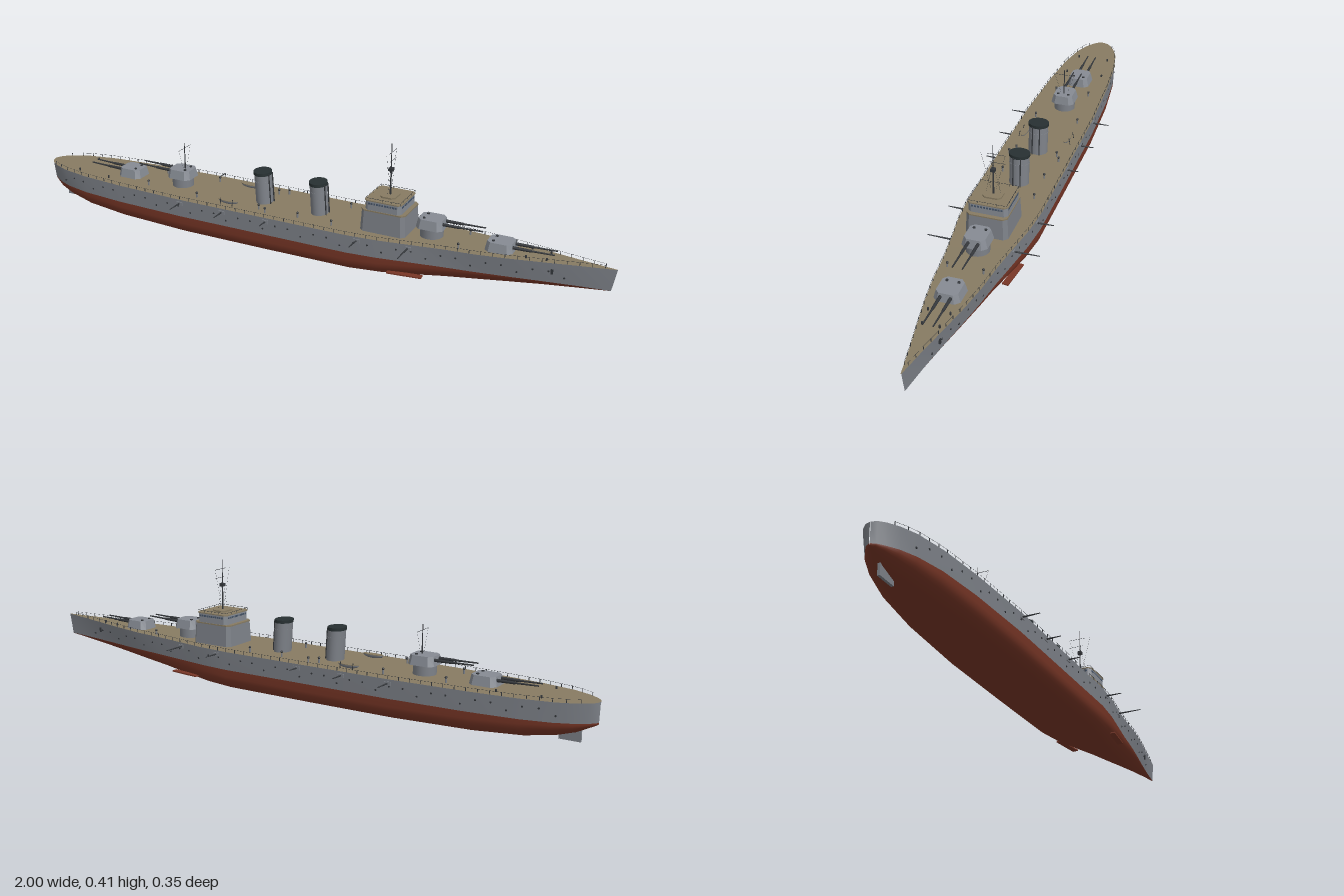
import * as THREE from 'three';
import { mergeGeometries } from 'three/addons/utils/BufferGeometryUtils.js';

const mat = (name, color) => Object.assign(new THREE.MeshStandardMaterial({ color }), { name });

// hull stations: deck x, waterline x, deck half-width, deck y, waterline half-width, keel y, section fullness
const STATIONS = [
  [-1, -0.998, 0.001, 0.135, 0.001, 0.070, 2], [-0.995, -0.99, 0.018, 0.135, 0.015, 0.065, 2],
  [-0.98, -0.97, 0.034, 0.135, 0.031, 0.055, 2], [-0.95, -0.94, 0.054, 0.135, 0.051, 0.04, 2],
  [-0.9, -0.89, 0.075, 0.135, 0.072, 0.025, 2.1], [-0.8, -0.8, 0.095, 0.135, 0.093, 0.01, 2.4],
  [-0.65, -0.65, 0.109, 0.135, 0.108, 0.003, 2.9], [-0.4, -0.4, 0.12, 0.135, 0.118, 0, 3.3],
  [-0.1, -0.1, 0.12, 0.135, 0.118, 0, 3.4], [0.2, 0.2, 0.12, 0.135, 0.118, 0, 3.2],
  [0.3, 0.3, 0.112, 0.135, 0.109, 0.002, 2.8], [0.4, 0.4, 0.096, 0.135, 0.093, 0.01, 2.4],
  [0.5, 0.5, 0.082, 0.136, 0.077, 0.02, 2], [0.6, 0.598, 0.073, 0.137, 0.064, 0.029, 1.7],
  [0.7, 0.695, 0.058, 0.139, 0.048, 0.04, 1.5], [0.8, 0.79, 0.039, 0.141, 0.031, 0.051, 1.3],
  [0.9, 0.89, 0.019, 0.143, 0.014, 0.063, 1.2], [1, 0.987, 0.001, 0.145, 0.001, 0.0745, 1],
];
const WL = 0.075;

// interpolate a station column at x
function at(x, col) {
  let i = 0;
  while (i < STATIONS.length - 2 && STATIONS[i + 1][0] < x) i++;
  const a = STATIONS[i], b = STATIONS[i + 1];
  return THREE.MathUtils.lerp(a[col], b[col], (x - a[0]) / (b[0] - a[0]));
}
// half-width of the topsides at x and height y
const sideZ = (x, y) => THREE.MathUtils.lerp(at(x, 4), at(x, 2), (y - WL) / (at(x, 3) - WL));

// skin over rows of points
function loft(rows) {
  const n = rows[0].length, index = [];
  for (let i = 0; i < rows.length - 1; i++) for (let j = 0; j < n - 1; j++) {
    const a = i * n + j, b = a + n;
    index.push(a, b, a + 1, b, b + 1, a + 1);
  }
  const g = new THREE.BufferGeometry();
  g.setAttribute('position', new THREE.Float32BufferAttribute(rows.flat(2), 3));
  g.setIndex(index);
  g.computeVertexNormals();
  return g;
}

// upright block with chamfered corners, narrowing to the top
function block(w, d, h, c, tx = 1, tz = tx) {
  const x = w / 2, z = d / 2;
  const pts = [[x, c - z], [x, z - c], [x - c, z], [c - x, z], [-x, z - c], [-x, c - z], [c - x, -z], [x - c, -z]];
  const shape = new THREE.Shape(pts.map(p => new THREE.Vector2(...p)));
  const g = new THREE.ExtrudeGeometry(shape, { depth: h, bevelEnabled: false }).rotateX(-Math.PI / 2);
  const p = g.attributes.position;
  for (let i = 0; i < p.count; i++) {
    const t = p.getY(i) / h;
    p.setX(i, p.getX(i) * (1 + (tx - 1) * t));
    p.setZ(i, p.getZ(i) * (1 + (tz - 1) * t));
  }
  g.computeVertexNormals();
  return g;
}

// round bar between two points
function rod(a, b, r, r2 = r, sides = 6) {
  const p = new THREE.Vector3(...a), q = new THREE.Vector3(...b), dir = q.clone().sub(p), len = dir.length();
  return new THREE.CylinderGeometry(r2, r, len, sides).applyQuaternion(
    new THREE.Quaternion().setFromUnitVectors(new THREE.Vector3(0, 1, 0), dir.normalize()))
    .translate(...p.add(q).multiplyScalar(0.5).toArray());
}

export function createModel() {
  const ship = new THREE.Group();
  ship.name = 'warship';
  const grey = mat('hull grey', 0x7d8188), light = mat('superstructure grey', 0x868b93),
    red = mat('antifouling red', 0x783626), wood = mat('deck tan', 0x877b62),
    dark = mat('gunmetal', 0x34373b), cap = mat('funnel black', 0x273032), glass = mat('window blue', 0x46556a);
  const add = (name, g, m, x = 0, y = 0, z = 0, parent = ship) => {
    const mesh = new THREE.Mesh(g, m);
    mesh.name = name;
    mesh.position.set(x, y, z);
    parent.add(mesh);
    return mesh;
  };

  // hull
  const S = 20;
  add('lowerHull', loft(STATIONS.map(([, xw, , , hw, yb, n]) => Array.from({ length: S + 1 }, (_, j) => {
    const t = Math.PI * j / S, c = -Math.cos(t);
    return [xw, WL - (WL - yb) * Math.pow(Math.max(0, Math.sin(t)), 2 / n), hw * Math.sign(c) * Math.pow(Math.abs(c), 2 / n)];
  }))), red);
  add('leftTopsides', loft(STATIONS.map(([x, xw, hd, yd, hw]) => [[xw, WL, -hw], [x, yd, -hd]].reverse())), grey);
  add('rightTopsides', loft(STATIONS.map(([x, xw, hd, yd, hw]) => [[xw, WL, hw], [x, yd, hd]])), grey);
  add('deck', loft(STATIONS.map(([x, , hd, yd]) => [[x, yd, hd], [x, yd, -hd]])), wood);
  add('rudder', new THREE.BoxGeometry(0.065, 0.045, 0.008), grey, -0.918, 0.033);

  // railing, portholes, bow fins and anchors
  const posts = [], ports = [];
  for (const s of [-1, 1]) {
    const line = [];
    for (let x = -0.96; x < 0.97; x += 0.035) {
      const z = s * Math.max(at(x, 2) - 0.002, 0.001), y = at(x, 3);
      posts.push(new THREE.BoxGeometry(0.0015, 0.011, 0.0015).translate(x, y + 0.0055, z));
      line.push([x, y + 0.0105, z]);
    }
    for (let i = 1; i < line.length; i++) posts.push(rod(line[i - 1], line[i], 0.0004, 0.0004, 4));
    for (let i = 0; i < 40; i++) {
      const x = -0.9 + i * 0.045, y = i % 3 ? 0.113 : 0.096;
      ports.push(new THREE.CylinderGeometry(0.003, 0.003, 0.003, 8).rotateX(Math.PI / 2).translate(x, y, s * sideZ(x, y)));
    }
    add('bowFin', new THREE.BoxGeometry(0.11, 0.004, 0.02), red, 0.385, 0.03, s * 0.09).rotation.y = s * 0.12;
    add('anchor', new THREE.BoxGeometry(0.007, 0.016, 0.006), dark, 0.82, 0.113, s * sideZ(0.82, 0.113));
  }
  add('railing', mergeGeometries(posts), dark);
  add('portholes', mergeGeometries(ports), dark);

  // main gun turrets; dir is the way the guns point
  for (const [x, base, dir] of [[0.655, 0.137, 1], [0.435, 0.166, 1], [-0.46, 0.166, -1], [-0.66, 0.135, -1]]) {
    const t = new THREE.Group();
    t.name = 'turret';
    t.position.set(x, base, 0);
    t.rotation.y = dir > 0 ? 0 : Math.PI;
    ship.add(t);
    if (base > 0.15) add('barbette', new THREE.CylinderGeometry(0.036, 0.036, 0.034, 20), grey, 0, -0.015, 0, t);
    add('gunHouse', block(0.086, 0.08, 0.029, 0.014, 0.88, 0.82), light, 0, 0, 0, t);
    for (const z of [-0.015, 0.015]) {
      add('barrelSleeve', rod([0.035, 0.018, z], [0.095, 0.019, z], 0.005, 0.0042, 10), dark, 0, 0, 0, t);
      add('gunBarrel', rod([0.09, 0.019, z], [0.165, 0.021, z], 0.0032, 0.0022, 8), dark, 0, 0, 0, t);
      add('sightHood', block(0.008, 0.008, 0.004, 0.002), dark, -0.02, 0.028, z * 1.2, t);
    }
  }

  // raked oval funnels
  for (const x of [-0.146, 0.054]) {
    const tube = (y0, y1, r) => new THREE.CylinderGeometry(r, r, y1 - y0, 28).scale(0.85, 1, 1)
      .translate(0, (y0 + y1) / 2, 0)
      .applyMatrix4(new THREE.Matrix4().set(1, -0.06, 0, 0, 0, 1, 0, 0, 0, 0, 1, 0, 0, 0, 0, 1));
    add('funnel', tube(0, 0.097, 0.032), grey, x, 0.135);
    add('funnelCap', tube(0.096, 0.106, 0.034), cap, x, 0.135);
    add('funnelBand', tube(0.072, 0.075, 0.033), grey, x, 0.135);
    for (const z of [-1, 1]) add('steamPipe', rod([x + 0.028, 0.135, z * 0.012], [x + 0.022, 0.235, z * 0.012], 0.002), dark);
  }

  // bridge
  add('bridgeBase', block(0.15, 0.134, 0.068, 0.012, 0.95, 0.95), grey, 0.295, 0.135);
  add('bridgeWing', block(0.145, 0.128, 0.004, 0.012), wood, 0.295, 0.202);
  add('bridgeHouse', block(0.118, 0.124, 0.03, 0.01), light, 0.295, 0.206);
  add('bridgeRoof', block(0.122, 0.128, 0.003, 0.01), wood, 0.295, 0.236);
  const panes = [];
  for (let i = -5; i <= 5; i++) for (const s of [-1, 1]) {
    panes.push(new THREE.BoxGeometry(0.002, 0.006, 0.006).translate(s * 0.059, 0, i * 0.0092));
    panes.push(new THREE.BoxGeometry(0.006, 0.006, 0.002).translate(i * 0.0088, 0, s * 0.062));
  }
  add('bridgeWindows', mergeGeometries(panes), glass, 0.295, 0.228);
  add('chartTable', block(0.05, 0.06, 0.005, 0.01), wood, 0.295, 0.239);
  const rail = [], corners = [[0.057, 0.06], [-0.057, 0.06], [-0.057, -0.06], [0.057, -0.06]];
  corners.forEach(([x, z], i) => {
    const [x2, z2] = corners[(i + 1) % 4];
    rail.push(rod([x, 0.008, z], [x2, 0.008, z2], 0.0006, 0.0006, 4));
    for (let k = 0; k < 4; k++) {
      const px = x + (x2 - x) * k / 4, pz = z + (z2 - z) * k / 4;
      rail.push(rod([px, 0, pz], [px, 0.008, pz], 0.0006, 0.0006, 4));
    }
  });
  add('bridgeRail', mergeGeometries(rail), dark, 0.295, 0.237);

  // masts with yards and rigging
  add('foremast', mergeGeometries([
    rod([0.295, 0.236, 0], [0.295, 0.41, 0], 0.003, 0.001),
    rod([0.295, 0.38, -0.038], [0.295, 0.38, 0.018], 0.0007),
    rod([0.295, 0.352, -0.038], [0.295, 0.352, 0.01], 0.0007),
    new THREE.BoxGeometry(0.014, 0.01, 0.014).translate(0.295, 0.326, 0),
  ].map(g => g.toNonIndexed())), dark);
  add('mainmast', mergeGeometries([
    rod([-0.45, 0.194, 0], [-0.45, 0.285, 0], 0.0024, 0.001),
    rod([-0.45, 0.267, -0.035], [-0.45, 0.267, 0.035], 0.0007),
  ]), dark);
  const lines = [];
  for (const s of [-1, 1]) {
    lines.push(rod([0.295, 0.38, s * 0.038], [0.295, 0.26, s * 0.008], 0.0003, 0.0003, 3));
    lines.push(rod([0.295, 0.35, 0], [0.295, 0.24, s * 0.025], 0.0003, 0.0003, 3));
    lines.push(rod([-0.45, 0.267, s * 0.035], [-0.45, 0.2, s * 0.012], 0.0003, 0.0003, 3));
  }
  add('rigging', mergeGeometries(lines), dark);

  // side guns, boats and deck fittings
  for (const s of [-1, 1]) {
    for (const [x, tip] of [[-0.4, 0.176], [-0.24, 0.168], [-0.08, 0.158], [0.235, 0.17], [0.395, 0.176]]) {
      const z = sideZ(x, 0.122);
      add('casemate', new THREE.BoxGeometry(0.022, 0.012, 0.006), grey, x, 0.122, s * z);
      add('sideGun', rod([x, 0.122, s * (z - 0.005)], [x, 0.123, s * tip], 0.003, 0.0014, 8), dark);
    }
    const boat = new THREE.SphereGeometry(1, 20, 8, 0, Math.PI * 2, Math.PI / 2, Math.PI / 2).scale(0.036, 0.011, 0.011);
    add('boatHull', boat, grey, -0.24, 0.147, s * 0.075);
    add('boatCover', new THREE.CylinderGeometry(1, 1, 0.002, 20).scale(0.036, 1, 0.011), wood, -0.24, 0.148, s * 0.075);
    for (const x of [-0.262, -0.218]) add('davit', rod([x, 0.135, s * 0.09], [x, 0.156, s * 0.086], 0.0012), dark);
    for (const [x, z] of [[-0.56, 0.06], [-0.36, 0.075], [-0.13, 0.07], [-0.1, 0.085], [0.01, 0.07], [0.13, 0.075], [0.54, 0.055]]) {
      add('ventPipe', rod([x, 0.135, s * z], [x, 0.15, s * z], 0.0028, 0.0028, 8), grey);
      add('ventCowl', new THREE.SphereGeometry(0.0042, 8, 6), dark, x, 0.151, s * z);
    }
    for (const x of [-0.85, -0.72, 0.74, 0.8]) add('bollard', new THREE.CylinderGeometry(0.003, 0.003, 0.008, 8), dark, x, at(x, 3) + 0.004, s * at(x, 2) * 0.65);
  }
  return ship;
}
